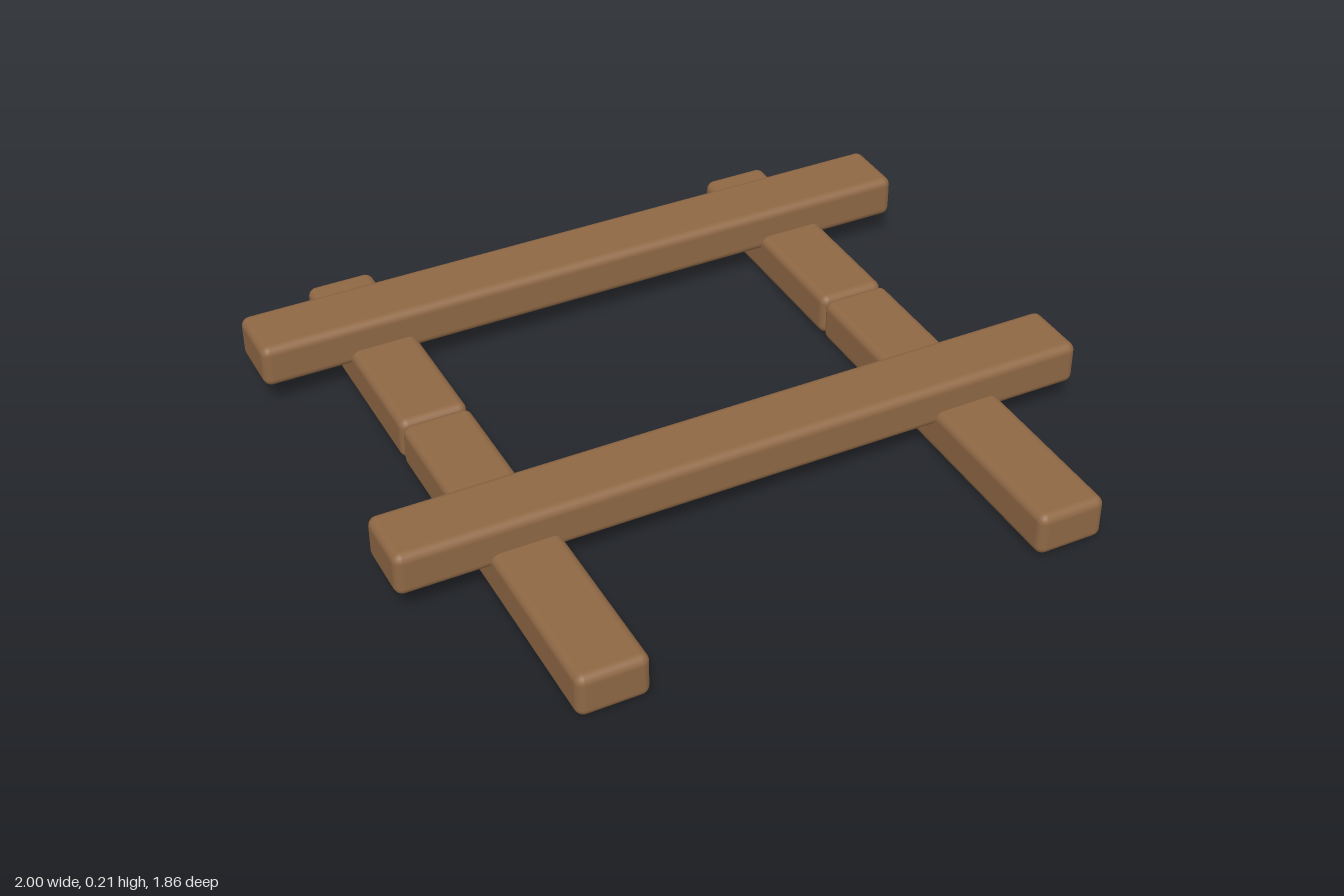
import * as THREE from 'three';
import { RoundedBoxGeometry } from 'three/addons/geometries/RoundedBoxGeometry.js';

const WIDTH = 0.197, HEIGHT = 0.127, BEVEL = 0.025;

export function createModel() {
  const group = new THREE.Group();
  group.name = 'timberFrame';
  const wood = new THREE.MeshStandardMaterial({ color: 0x8f6845 });
  wood.name = 'brownWood';

  // One softly rounded beam
  const addBeam = (name, sx, sz, x, y, z) => {
    const beam = new THREE.Mesh(new RoundedBoxGeometry(sx, HEIGHT, sz, 3, BEVEL), wood);
    beam.name = name;
    beam.position.set(x, y, z);
    group.add(beam);
  };

  // Ground rails, each a short back piece and a long front piece butted together
  const joint = -0.187, end = 0.928;
  for (const [side, x] of [['left', 0.65], ['right', -0.65]]) {
    addBeam(side + 'FrontRail', WIDTH, end - joint, x, HEIGHT / 2, (end + joint) / 2);
    addBeam(side + 'BackRail', WIDTH, end + joint, x, HEIGHT / 2, (joint - end) / 2);
  }

  // Crossbeams notched into the tops of the rails
  addBeam('frontCrossbeam', 2, WIDTH, 0, 0.147, 0.323);
  addBeam('backCrossbeam', 2, WIDTH, 0, 0.147, -0.655);

  return group;
}
